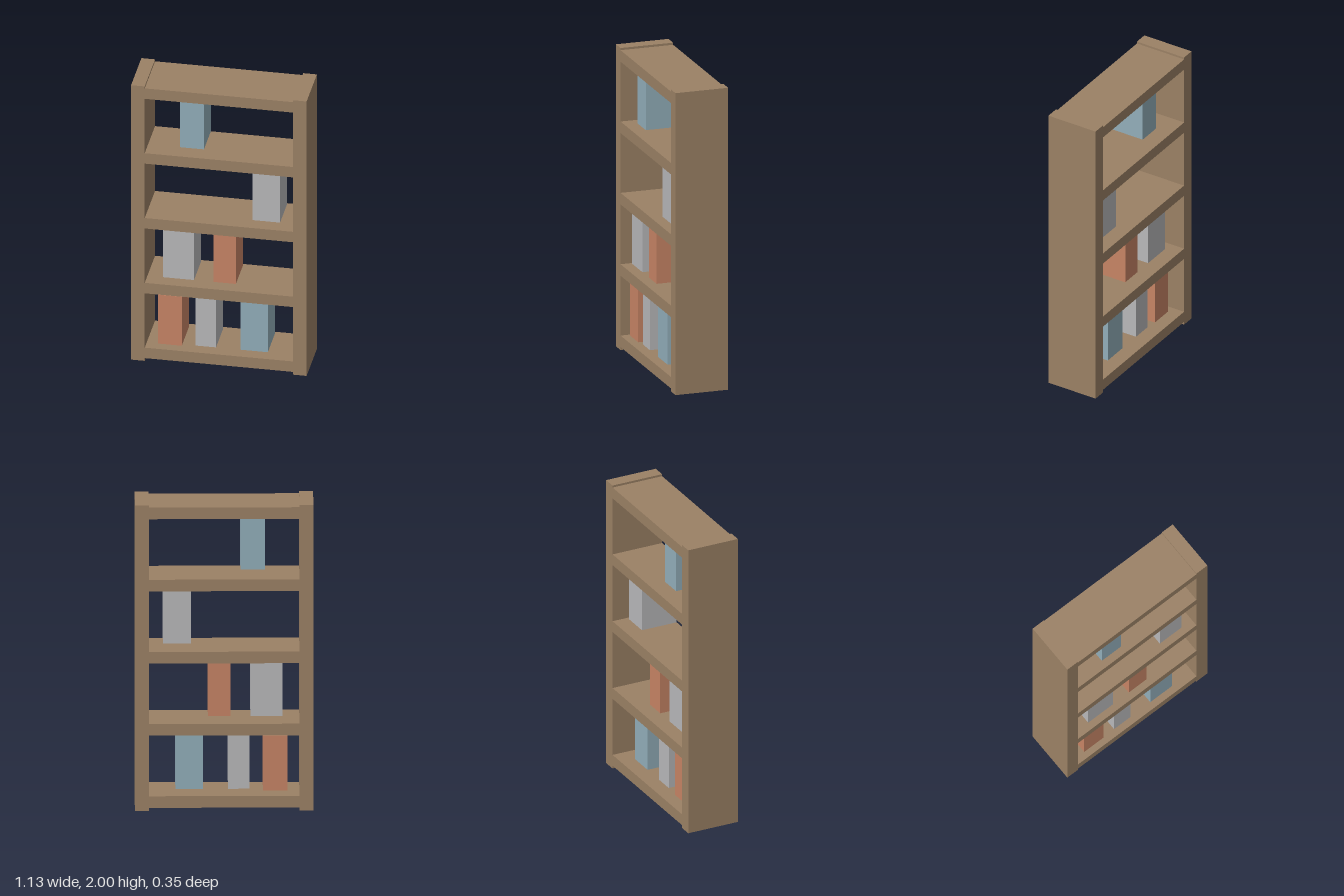
import * as THREE from 'three';

const paint = (name, color) => {
  const m = new THREE.MeshStandardMaterial({ color });
  m.name = name;
  return m;
};

export function createModel() {
  const wood = paint('wood', 0x9b8165);
  const teal = paint('teal', 0x92aeba);
  const grey = paint('grey', 0xb8b8ba);
  const orange = paint('orange', 0xc78465);

  const model = new THREE.Group();
  model.name = 'bookshelf';

  // Box given by its minimum and maximum along each axis
  const box = (name, material, [x0, x1], [y0, y1], [z0, z1]) => {
    const mesh = new THREE.Mesh(new THREE.BoxGeometry(x1 - x0, y1 - y0, z1 - z0), material);
    mesh.position.set((x0 + x1) / 2, (y0 + y1) / 2, (z0 + z1) / 2);
    mesh.name = name;
    model.add(mesh);
  };

  // Side panels, full height
  const depth = [-0.177, 0.177];
  box('leftSide', wood, [0.478, 0.566], [0, 2], depth);
  box('rightSide', wood, [-0.566, -0.478], [0, 2], depth);

  // Five evenly spaced shelves
  for (let i = 0; i < 5; i++) {
    const y = 0.02 + i * 0.4725;
    box(`shelf${i + 1}`, wood, [-0.478, 0.478], [y, y + 0.076], depth);
  }

  // Books: material, left edge, right edge, bottom
  const books = [
    [orange, -0.4, -0.246, 0.114],
    [grey, -0.159, -0.025, 0.125],
    [teal, 0.134, 0.309, 0.125],
    [grey, -0.368, -0.167, 0.601],
    [orange, -0.04, 0.103, 0.601],
    [grey, 0.211, 0.388, 1.078],
    [teal, -0.258, -0.103, 1.56],
  ];
  books.forEach(([material, x0, x1, y], i) =>
    box(`book${i + 1}`, material, [x0, x1], [y, y + 0.356], [-0.105, 0.14]));

  return model;
}
